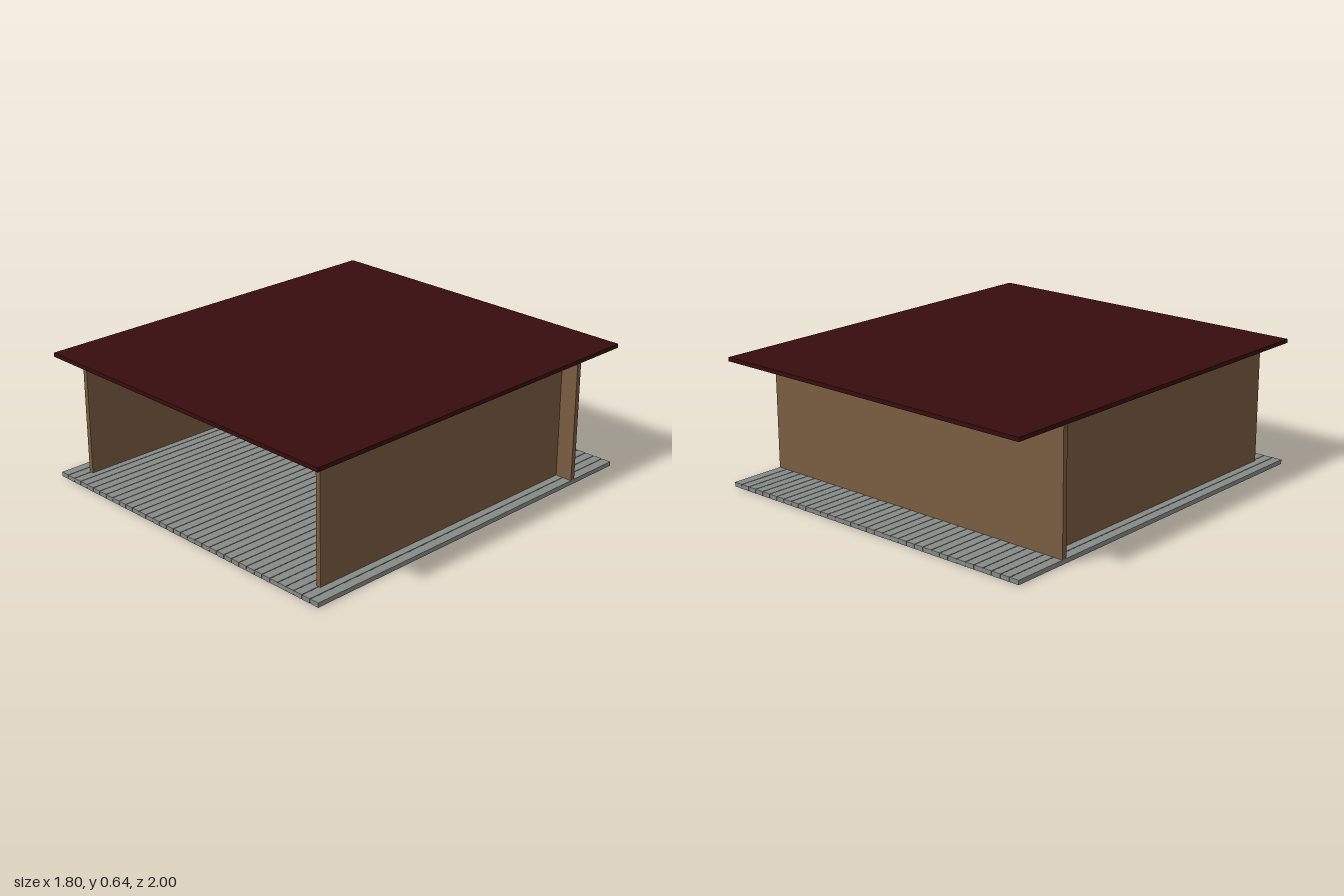
import * as THREE from 'three';

const mat = (name, color, side = THREE.FrontSide) => {
  const m = new THREE.MeshStandardMaterial({ color, side });
  m.name = name;
  return m;
};

export function createModel() {
  const wood = mat('brown wood', 0x7a5d41);
  const maroon = mat('dark maroon wood', 0x390d0e);
  const stone = mat('grey planks', 0x878b88);
  const glass = mat('window glass', 0x687d85);
  const iron = mat('dark iron', 0x3c3a38);
  const steel = mat('pale steel', 0x84959a);

  const model = new THREE.Group();
  model.name = 'openWorkshop';

  const group = (name, parent = model) => {
    const g = new THREE.Group();
    g.name = name;
    parent.add(g);
    return g;
  };
  const add = (name, geo, material, parent = model) => {
    const m = new THREE.Mesh(geo, material);
    m.name = name;
    parent.add(m);
    return m;
  };
  // Box given by its limits on each axis
  const box = (name, material, x0, x1, y0, y1, z0, z1, parent) => {
    const geo = new THREE.BoxGeometry(x1 - x0, y1 - y0, z1 - z0);
    geo.translate((x0 + x1) / 2, (y0 + y1) / 2, (z0 + z1) / 2);
    return add(name, geo, material, parent);
  };
  // Round bar between two points, optionally tapered
  const rod = (name, material, a, b, r0, r1 = r0, parent = model) => {
    const p = new THREE.Vector3(...a), q = new THREE.Vector3(...b);
    const dir = q.clone().sub(p);
    const m = add(name, new THREE.CylinderGeometry(r1, r0, dir.length(), 10), material, parent);
    m.position.copy(p).add(q).multiplyScalar(0.5);
    m.quaternion.setFromUnitVectors(new THREE.Vector3(0, 1, 0), dir.normalize());
    return m;
  };

  // Plank floor with narrow gaps
  const floor = group('floor');
  for (let i = 0; i < 36; i++) {
    const x = -0.9 + i * 0.05;
    box('plank', stone, x + (i ? 0.002 : 0), x + (i < 35 ? 0.048 : 0.05), 0, 0.022, -1, 1, floor);
  }
  box('floorJoists', stone, -0.9, 0.9, 0.003, 0.018, -0.998, 0.998, floor);

  // Walls and flat roof
  box('backWall', wood, -0.9, 0.9, 0.022, 0.625, -0.715, -0.69);
  for (const s of [-1, 1]) {
    const w = box('sideWall', wood, -0.0125, 0.0125, 0.022, 0.625, -0.69, 0.9);
    w.position.x = s * 0.7975;
  }
  box('roof', maroon, -0.9, 0.9, 0.625, 0.645, -1, 1);
  const beams = group('ceilingBeams');
  for (let i = 0; i < 6; i++) {
    const z = -0.65 + i * 0.3;
    box('beam', maroon, -0.785, 0.785, 0.59, 0.625, z - 0.02, z + 0.02, beams);
  }

  // Window on the inside of the back wall
  const win = group('window');
  box('glass', glass, -0.09, 0.29, 0.29, 0.515, -0.69, -0.682, win);
  for (const y of [0.28, 0.51]) box('frameRail', maroon, -0.1, 0.3, y, y + 0.015, -0.69, -0.67, win);
  for (const x of [-0.1, 0.285]) box('frameStile', maroon, x, x + 0.015, 0.295, 0.51, -0.69, -0.67, win);

  // Tool rail with hanging curved tools
  const rail = group('toolRail');
  box('railBoard', maroon, -0.35, 0.35, 0.275, 0.29, -0.69, -0.64, rail);
  const hookPath = new THREE.CatmullRomCurve3([
    [0, 0.275], [-0.005, 0.25], [0.006, 0.23], [-0.004, 0.205],
  ].map(([x, y]) => new THREE.Vector3(x, y, 0)));
  const hookGeo = new THREE.TubeGeometry(hookPath, 10, 0.004, 6);
  for (let i = 0; i < 12; i++) {
    const hook = add('hangingTool', hookGeo, iron, rail);
    hook.position.set(-0.3 + i * 0.05, 0, -0.645);
  }

  // Wall shelves with bottles
  for (const [x0, x1, n] of [[-0.66, -0.54, 5], [-0.49, -0.39, 4], [0.39, 0.51, 4], [0.54, 0.66, 5]]) {
    const shelf = group('wallShelf');
    box('board', maroon, x0, x1, 0.268, 0.282, -0.69, -0.62, shelf);
    for (let i = 0; i < n; i++) {
      const x = x0 + 0.02 + i * 0.022;
      rod('bottle', steel, [x, 0.282, -0.655], [x, 0.33, -0.655], 0.009, 0.009, shelf);
      rod('bottleNeck', steel, [x, 0.33, -0.655], [x, 0.345, -0.655], 0.006, 0.004, shelf);
    }
  }

  // Hearth with hood and flue
  const hearth = group('hearth');
  box('hearthBlock', maroon, -0.57, -0.435, 0.022, 0.145, -0.6, -0.44, hearth);
  rod('hood', wood, [-0.5, 0.15, -0.52], [-0.5, 0.2, -0.52], 0.038, 0.028, hearth);
  rod('flue', wood, [-0.503, 0.2, -0.52], [-0.503, 0.6, -0.52], 0.009, 0.009, hearth);

  // Hanging lamp
  const lamp = group('hangingLamp');
  rod('lampRod', wood, [0.208, 0.19, -0.4], [0.208, 0.6, -0.4], 0.007, 0.007, lamp);
  rod('lampShade', wood, [0.2, 0.162, -0.4], [0.2, 0.192, -0.4], 0.017, 0.012, lamp);

  // Long table
  const table = group('table');
  box('tableTop', maroon, -0.25, 0.25, 0.142, 0.16, -0.5, -0.3, table);
  for (const x of [-0.22, 0.2]) for (const z of [-0.48, -0.34])
    box('tableLeg', maroon, x, x + 0.02, 0.022, 0.142, z, z + 0.02, table);

  // Tool rack and chest standing on the table
  const rack = group('toolRack');
  box('rackBack', maroon, -0.14, -0.045, 0.16, 0.26, -0.45, -0.4, rack);
  for (let i = 0; i < 4; i++) {
    const x = -0.125 + i * 0.02;
    box('rackSlat', wood, x, x + 0.006, 0.175, 0.25, -0.4, -0.394, rack);
  }
  box('chest', maroon, -0.04, 0.038, 0.16, 0.25, -0.45, -0.4, rack);
  box('chestBand', steel, -0.034, 0.032, 0.232, 0.244, -0.4, -0.394, rack);
  for (const x of [-0.022, 0.018]) rod('chestKnob', steel, [x, 0.205, -0.4], [x, 0.205, -0.39], 0.009, 0.009, rack);

  // Long-handled tools leaning behind the table
  const tools = group('longTools');
  for (const [x0, x1, top] of [[-0.1, -0.1, 0.29], [-0.05, -0.02, 0.56], [-0.01, -0.01, 0.54]]) {
    rod('handle', wood, [x0, 0.022, -0.56], [x1, top, -0.66], 0.005, 0.005, tools);
    box('toolHead', steel, x0 - 0.011, x0 + 0.015, 0.262, 0.292, -0.62, -0.608, tools);
  }

  // Row of five desks, each with a small stool
  const seat = (name, x, z, w, d, top, thick, leg) => {
    const g = group(name);
    box('top', maroon, -w / 2, w / 2, top - thick, top, -d / 2, d / 2, g);
    for (const sx of [-1, 1]) for (const sz of [-1, 1]) {
      const l = box('leg', maroon, -leg / 2, leg / 2, 0.022, top - thick, -leg / 2, leg / 2, g);
      l.position.set(sx * (w / 2 - leg), 0, sz * (d / 2 - leg));
    }
    g.position.set(x, 0, z);
  };
  for (let i = 0; i < 5; i++) {
    const x = -0.3 + i * 0.14;
    seat('desk', x, -0.2, 0.1, 0.09, 0.136, 0.014, 0.012);
    seat('smallStool', x, -0.1, 0.075, 0.07, 0.076, 0.012, 0.012);
  }

  // Standing lantern
  const lantern = group('lantern');
  rod('post', maroon, [-0.2, 0.022, -0.02], [-0.2, 0.165, -0.02], 0.008, 0.008, lantern);
  box('lanternBody', wood, -0.21, -0.19, 0.165, 0.245, -0.03, -0.01, lantern);
  box('lanternCap', iron, -0.213, -0.187, 0.245, 0.252, -0.033, -0.007, lantern);

  return model;
}
